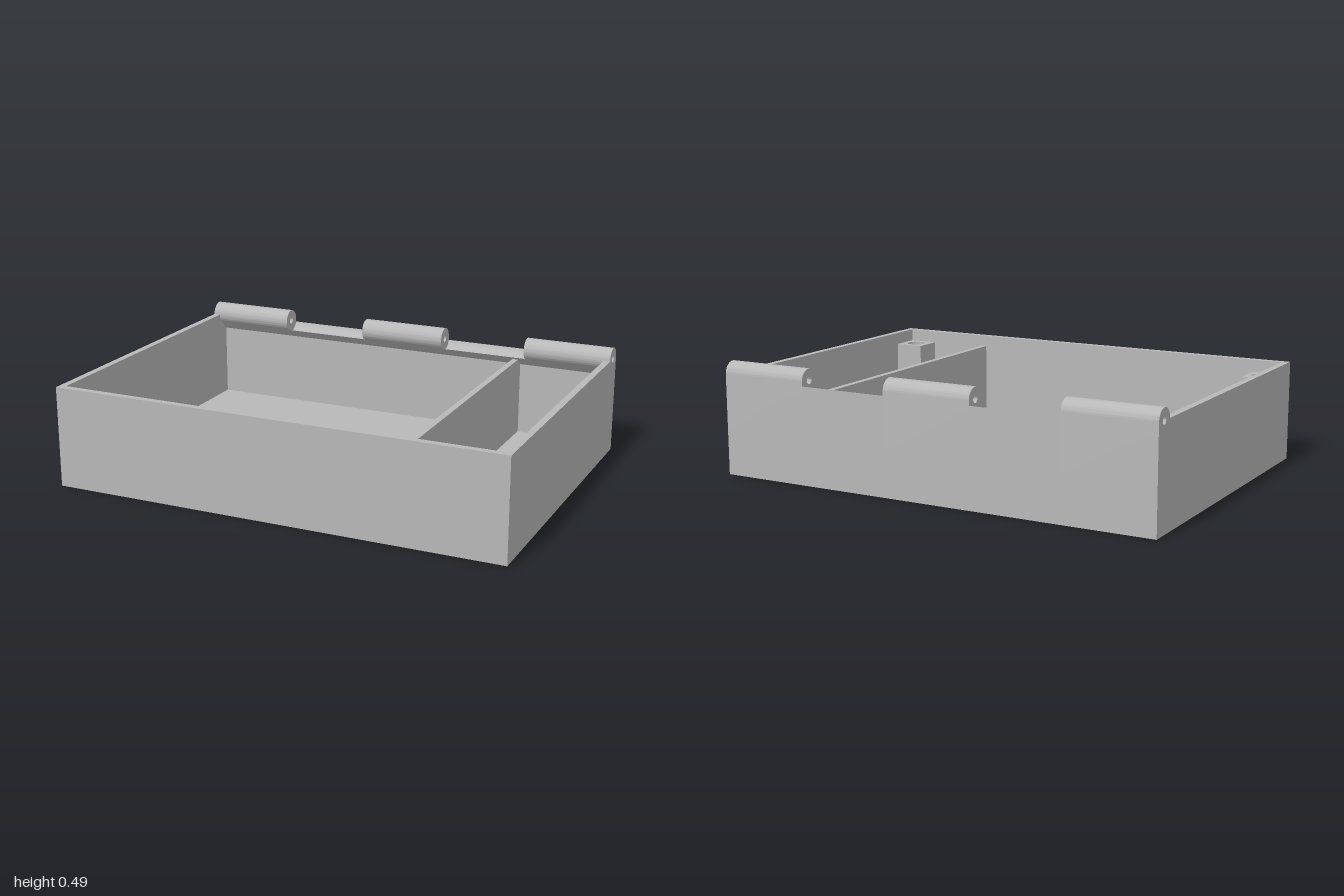
import * as THREE from 'three';
import { toCreasedNormals } from 'three/addons/utils/BufferGeometryUtils.js';

const W = 1, D = 0.72, H = 0.44;          // half width, half depth, rim height
const T = 0.03, FLOOR = 0.035;            // wall and floor thickness
const BACK = 0.68;                        // inside of the back wall
const PIN = 0.67, R = 0.05;               // hinge axis and knuckle radius
const INNER_TOP = 0.385;                  // height of divider and posts

const extrude = (shape, depth) => toCreasedNormals(
  new THREE.ExtrudeGeometry(shape, { depth, bevelEnabled: false, curveSegments: 24 }), 0.5);

// side profile (u = -z, y) swept along x from x0 to x1
const sweepX = (shape, x0, x1) => extrude(shape, x1 - x0).rotateY(Math.PI / 2).translate(x0, 0, 0);

// plan rectangle with round holes, raised from y0 to y1
function slab(x0, x1, z0, z1, y0, y1, holes) {
  const s = new THREE.Shape();
  s.moveTo(x0, -z1).lineTo(x1, -z1).lineTo(x1, -z0).lineTo(x0, -z0).closePath();
  for (const [x, z, r] of holes) s.holes.push(new THREE.Path().absarc(x, -z, r, 0, Math.PI * 2, true));
  return extrude(s, y1 - y0).rotateX(-Math.PI / 2).translate(0, y0, 0);
}

// back wall with a hinge knuckle on a sloped lip
function knuckleProfile() {
  const s = new THREE.Shape();
  s.moveTo(BACK, 0).lineTo(D, 0).lineTo(D, H);
  s.absarc(PIN, H, R, 0, Math.PI * 1.25, false);
  s.lineTo(BACK, 0.36).closePath();
  s.holes.push(new THREE.Path().absarc(PIN, H, 0.016, 0, Math.PI * 2, true));
  return s;
}

// back wall with a hollow for the mating knuckle
function hollowProfile() {
  const s = new THREE.Shape();
  s.moveTo(BACK, 0).lineTo(D, 0);
  s.absarc(PIN, H, 0.053, -0.339, -2.3, true);
  s.lineTo(BACK, 0.36).closePath();
  return s;
}

// side wall fitted against the lip
function sideProfile() {
  const s = new THREE.Shape();
  s.moveTo(-D + T, 0).lineTo(BACK, 0).lineTo(BACK, 0.36);
  s.lineTo(0.635, 0.405).lineTo(0.62, H).lineTo(-D + T, H).closePath();
  return s;
}

export function createModel() {
  const group = new THREE.Group();
  const grey = new THREE.MeshStandardMaterial({ color: 0xb8b8b8 });
  grey.name = 'grey';
  const add = (name, geo) => {
    const m = new THREE.Mesh(geo, grey);
    m.name = name;
    group.add(m);
    return m;
  };
  const box = (x0, x1, y0, y1, z0, z1) => new THREE.BoxGeometry(x1 - x0, y1 - y0, z1 - z0)
    .translate((x0 + x1) / 2, (y0 + y1) / 2, (z0 + z1) / 2);

  // floor with two countersunk screw holes
  const holes = [[-0.68, 0.4], [0.25, 0.4]];
  const plan = [-W + T, W - T, -BACK, D - T];
  const seat = 0.008;
  add('floorBottom', slab(...plan, 0, seat, holes.map(([x, z]) => [x, z, 0.028])));
  add('floorTop', slab(...plan, seat, FLOOR, holes.map(([x, z]) => [x, z, 0.058])));
  for (const [x, z] of holes) {
    const cone = new THREE.LatheGeometry(
      [new THREE.Vector2(0.058, FLOOR), new THREE.Vector2(0.028, seat)], 32);
    add('countersink', cone.translate(x, 0, z));
  }

  // walls
  add('frontWall', box(-W, W, 0, H, D - T, D));
  add('rightWall', sweepX(sideProfile(), -W, -W + T));
  add('leftWall', sweepX(sideProfile(), W - T, W));

  // back wall: knuckles and hollows alternate
  for (let i = 0; i < 5; i++) {
    const x0 = -W + i * 0.4;
    const knuckle = i % 2 === 0;
    add(knuckle ? 'hingeKnuckle' : 'hingeHollow',
      sweepX(knuckle ? knuckleProfile() : hollowProfile(), x0, x0 + 0.4));
  }

  // divider, its back end following the sloped lip
  const d = new THREE.Shape();
  d.moveTo(-D + T, FLOOR).lineTo(BACK, FLOOR).lineTo(BACK, 0.36);
  d.lineTo(0.65, 0.39).lineTo(-D + T, 0.39).closePath();
  add('divider', sweepX(d, 0.54, 0.567));

  // front corner posts with blind holes
  for (const s of [-1, 1]) {
    const x = s * 0.903, z = 0.623, h = 0.067, r = 0.043;
    add('cornerPost', slab(x - h, x + h, z - h, z + h, FLOOR, INNER_TOP, [[x, z, r]]));
    add('postHoleBottom', new THREE.CircleGeometry(r, 32).rotateX(-Math.PI / 2).translate(x, 0.15, z));
  }
  return group;
}
